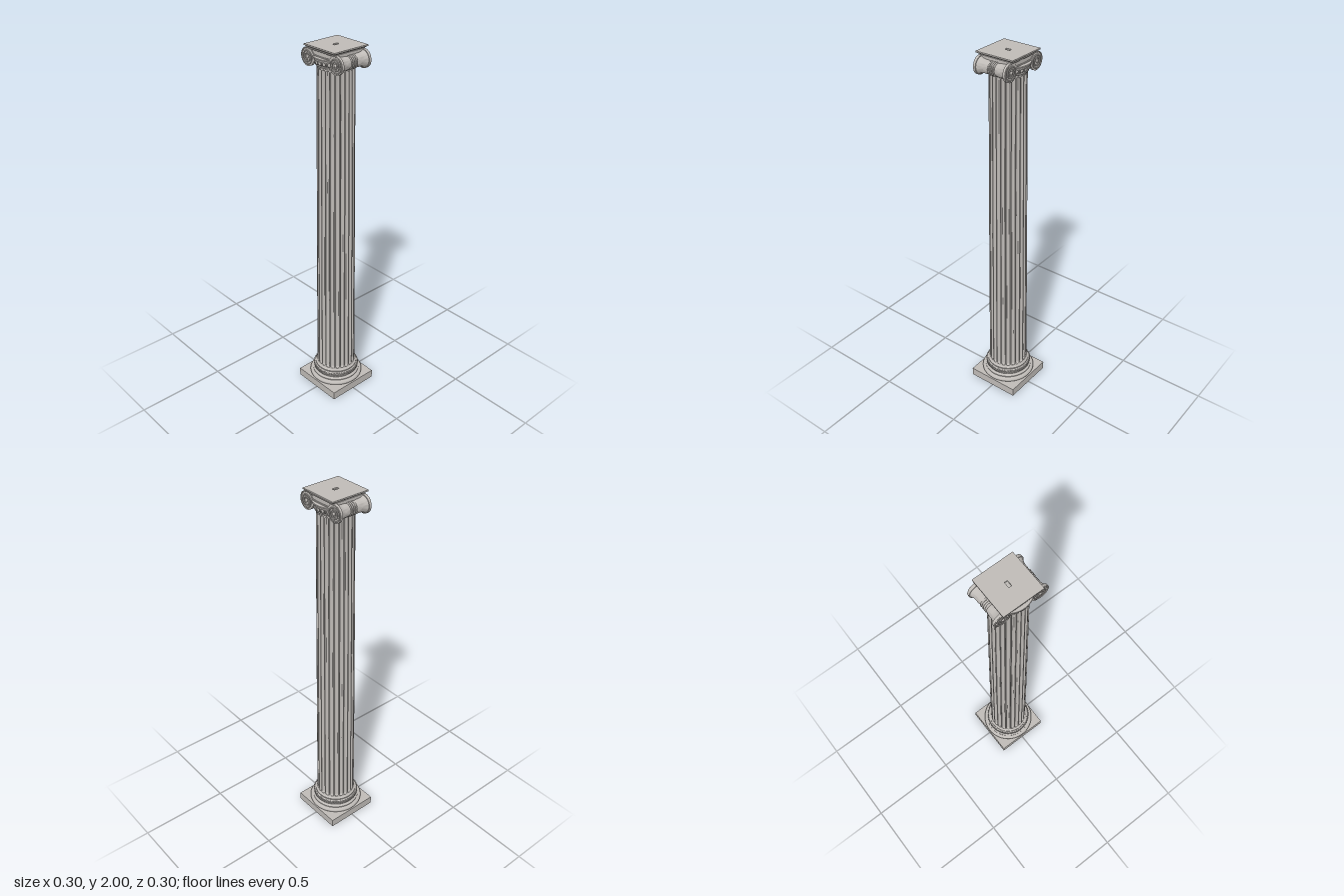
import * as THREE from 'three';
import { mergeGeometries, toCreasedNormals } from 'three/addons/utils/BufferGeometryUtils.js';

const stone = new THREE.MeshStandardMaterial({ color: 0xbfbbb7 });
stone.name = 'pale stone';

function add(parent, name, geometry) {
  const mesh = new THREE.Mesh(geometry, stone);
  mesh.name = name;
  parent.add(mesh);
  return mesh;
}

function box(w, h, d, y) {
  return new THREE.BoxGeometry(w, h, d).translate(0, y, 0);
}

// Turned moulding from [radius, height] pairs
function turned(points, segments = 72, crease = 0.6) {
  const profile = points.map(([r, y]) => new THREE.Vector2(r, y));
  return toCreasedNormals(new THREE.LatheGeometry(profile, segments), crease);
}

// Half-round bulge for a moulding profile
function bulge(r, y0, y1, depth, steps = 8) {
  return Array.from({ length: steps + 1 }, (_, i) => {
    const a = (i / steps - 0.5) * Math.PI;
    return [r + depth * Math.cos(a), (y0 + y1) / 2 + (y1 - y0) / 2 * Math.sin(a)];
  });
}

// Ring of small carved ellipsoids round the column axis
function carvedRing(count, r, y, size, tilt = 0, offset = 0) {
  const pieces = [];
  for (let i = 0; i < count; i++) {
    pieces.push(new THREE.SphereGeometry(1, 8, 6)
      .scale(...size)
      .rotateZ(tilt)
      .translate(0, y, r)
      .rotateY((i + offset) / count * Math.PI * 2));
  }
  return mergeGeometries(pieces);
}

// Tapered shaft with 24 round-ended flutes
function flutedShaft() {
  const flutes = 24, steps = 10, y0 = 0.135, y1 = 1.9;
  const ends = [0, 0.004, 0.006, 0.009, 0.013, 0.018];
  const heights = [...ends.map(e => y0 + e), 0.6, 1.0, 1.45, ...ends.map(e => y1 - e).reverse()];
  const rows = heights.length - 1;
  const geo = new THREE.CylinderGeometry(1, 1, 1, flutes * steps, rows, true);
  const pos = geo.attributes.position;
  const cols = flutes * steps + 1;
  for (let i = 0; i < pos.count; i++) {
    const y = heights[rows - Math.floor(i / cols)];
    const col = i % cols;
    const t = (y - y0) / (y1 - y0);
    const radius = 0.107 - 0.014 * Math.pow(t, 1.25);
    const u = ((col % steps) / steps - 0.5) / 0.4;
    const fromEnd = Math.min(y - y0, y1 - y) - 0.004;
    const v = Math.max(0, 1 - fromEnd / 0.014);
    const depth = fromEnd <= 0 ? 0 : 0.0095 * Math.sqrt(Math.max(0, 1 - u * u - v * v));
    const a = (col / (flutes * steps)) * Math.PI * 2;
    pos.setXYZ(i, Math.sin(a) * (radius - depth), y, Math.cos(a) * (radius - depth));
  }
  return toCreasedNormals(geo, 0.6);
}

// Spool between the front and back volutes, carved with leaf ribs
function bolster() {
  const profile = [
    [0.045, -0.085], [0.042, -0.078], [0.036, -0.065], [0.034, -0.05], [0.034, -0.035], [0.031, -0.022],
    [0.031, 0.022], [0.034, 0.035], [0.034, 0.05], [0.036, 0.065], [0.042, 0.078], [0.045, 0.085],
  ].map(([r, z]) => new THREE.Vector2(r, z));
  const geo = new THREE.LatheGeometry(profile, 64);
  const pos = geo.attributes.position;
  for (let i = 0; i < pos.count; i++) {
    const x = pos.getX(i), y = pos.getY(i), z = pos.getZ(i);
    const along = Math.max(0, 1 - Math.abs(Math.abs(y) - 0.05) / 0.03);
    const k = 1 - 0.1 * along * (1 - Math.abs(Math.cos(Math.atan2(z, x) * 4)));
    pos.setXYZ(i, x * k, y, z * k);
  }
  return toCreasedNormals(geo.rotateX(Math.PI / 2), 0.7);
}

const VX = 0.1, VY = 1.936;

// Raised rim running from the middle of the channel into the spiral
function spiralRim(side, face) {
  const pts = [0, 0.03, 0.065].map(x => new THREE.Vector3(side * x, VY + 0.0445, face * 0.094));
  const turns = 2.6, n = 52;
  for (let i = 0; i <= n; i++) {
    const t = i / n;
    const a = Math.PI / 2 - t * turns * Math.PI * 2;
    const r = 0.0445 - 0.034 * Math.pow(t, 0.85);
    pts.push(new THREE.Vector3(side * (VX + Math.cos(a) * r), VY + Math.sin(a) * r, face * 0.094));
  }
  return new THREE.TubeGeometry(new THREE.CatmullRomCurve3(pts), 150, 0.0033, 6);
}

// Square slab with the small slot in its top
function abacusSlab() {
  const s = 0.108, hx = 0.008, hz = 0.015;
  const shape = new THREE.Shape([[-s, -s], [s, -s], [s, s], [-s, s]].map(p => new THREE.Vector2(...p)));
  shape.holes.push(new THREE.Path([[-hx, -hz], [-hx, hz], [hx, hz], [hx, -hz]].map(p => new THREE.Vector2(...p))));
  return new THREE.ExtrudeGeometry(shape, { depth: 0.007, bevelEnabled: false })
    .rotateX(-Math.PI / 2).translate(0, 1.993, 0);
}

export function createModel() {
  const column = new THREE.Group();
  column.name = 'ionicColumn';

  // Base: plinth, two rounds with a hollow between them, flare into the shaft
  const base = new THREE.Group();
  base.name = 'base';
  column.add(base);
  add(base, 'plinth', box(0.3, 0.046, 0.3, 0.023));
  add(base, 'baseMouldings', turned([
    [0.133, 0.044], ...bulge(0.135, 0.046, 0.073, 0.014),
    [0.132, 0.073], [0.132, 0.077], [0.124, 0.081], [0.12, 0.087], [0.121, 0.092], [0.126, 0.095],
    [0.126, 0.098], ...bulge(0.116, 0.098, 0.12, 0.01),
    [0.117, 0.12], [0.117, 0.126], [0.111, 0.129], [0.108, 0.133], [0.107, 0.136],
  ]));
  add(base, 'carvedBraid', carvedRing(52, 0.125, 0.109, [0.0045, 0.0115, 0.004], -0.6));

  add(column, 'flutedShaft', flutedShaft());

  // Capital
  const capital = new THREE.Group();
  capital.name = 'capital';
  column.add(capital);
  add(capital, 'echinus', turned([
    [0.093, 1.899], ...bulge(0.094, 1.903, 1.911, 0.004, 6), [0.095, 1.912],
    [0.098, 1.918], [0.103, 1.927], [0.108, 1.936], [0.113, 1.943], [0.114, 1.947], [0.112, 1.95], [0.08, 1.952],
  ]));
  add(capital, 'eggCarving', carvedRing(24, 0.103, 1.928, [0.0085, 0.013, 0.006]));
  add(capital, 'dartCarving', carvedRing(24, 0.105, 1.928, [0.0022, 0.013, 0.004], 0, 0.5));
  add(capital, 'beadRing', carvedRing(60, 0.097, 1.907, [0.004, 0.0035, 0.003]));
  add(capital, 'channelBlock', box(0.2, 0.036, 0.178, 1.966));

  for (const side of [-1, 1]) {
    add(capital, 'bolster', bolster()).position.set(side * VX, VY, 0);
    for (let i = 0; i < 4; i++) {
      add(capital, 'bolsterBand', new THREE.TorusGeometry(0.031, 0.0042, 8, 40))
        .position.set(side * VX, VY, (i - 1.5) * 0.0105);
    }
    for (const face of [-1, 1]) {
      add(capital, 'voluteDisc', new THREE.CylinderGeometry(0.0465, 0.0465, 0.013, 48).rotateX(Math.PI / 2))
        .position.set(side * VX, VY, face * 0.0865);
      add(capital, 'voluteSpiral', spiralRim(side, face));
      add(capital, 'voluteEye', new THREE.SphereGeometry(0.009, 16, 10).scale(1, 1, 0.6))
        .position.set(side * VX, VY, face * 0.094);
    }
  }

  // Lower rims of the channel, sagging slightly between the volutes
  for (const face of [-1, 1]) {
    const sag = new THREE.QuadraticBezierCurve3(
      new THREE.Vector3(-0.06, 1.955, face * 0.091),
      new THREE.Vector3(0, 1.949, face * 0.091),
      new THREE.Vector3(0.06, 1.955, face * 0.091));
    add(capital, 'channelRim', new THREE.TubeGeometry(sag, 16, 0.0035, 6));
  }

  // Square moulded abacus
  const moulding = turned([
    [0, 1.981], [0.092, 1.981], [0.094, 1.984], [0.099, 1.987], [0.103, 1.989], [0.104, 1.993], [0, 1.993],
  ].map(([r, y]) => [r * Math.SQRT2, y]), 4);
  add(capital, 'abacusMoulding', moulding.rotateY(Math.PI / 4));
  add(capital, 'abacusSlab', abacusSlab());

  return column;
}
